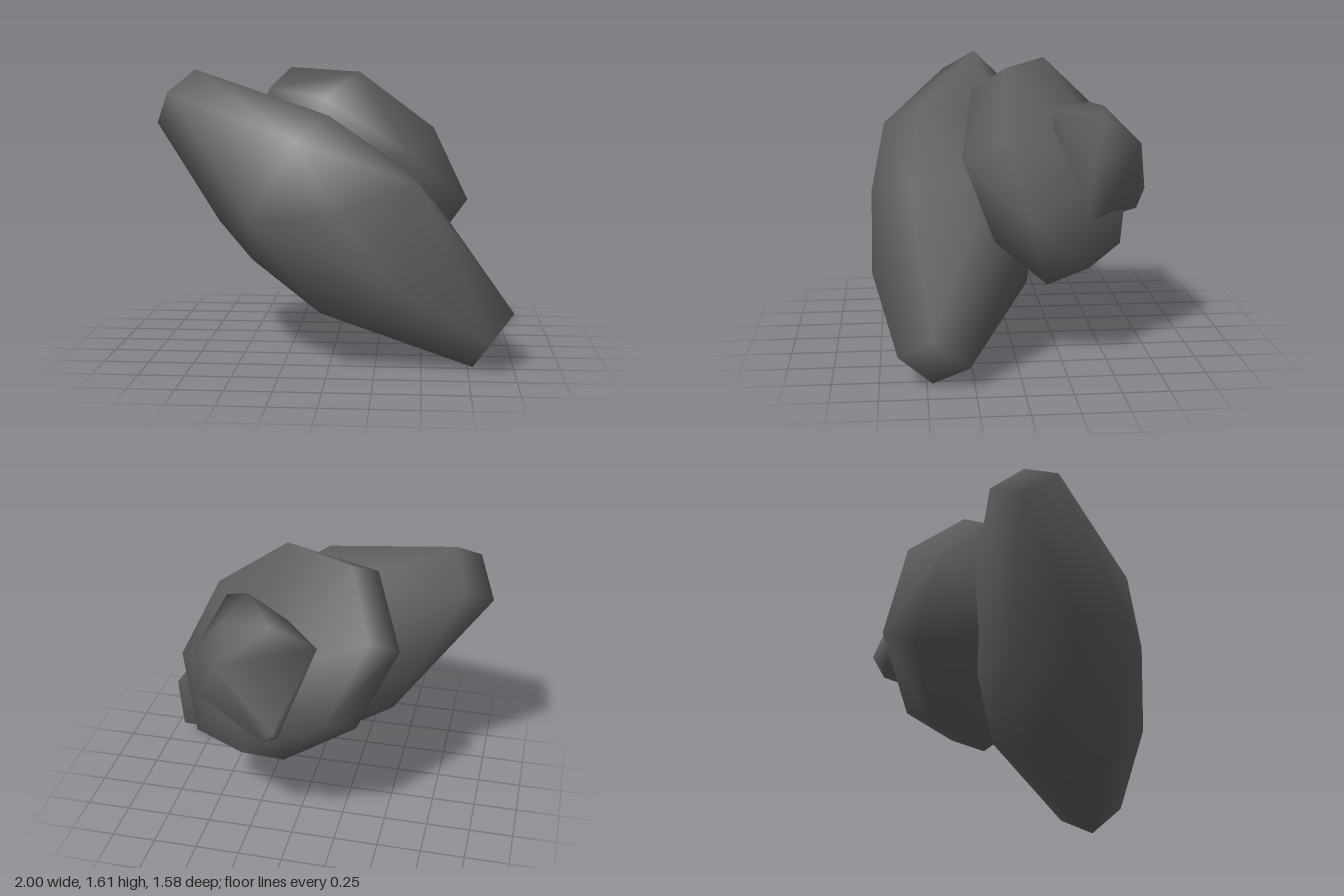
import * as THREE from 'three';
import { ConvexGeometry } from 'three/addons/geometries/ConvexGeometry.js';
import { mergeVertices } from 'three/addons/utils/BufferGeometryUtils.js';

const material = new THREE.MeshStandardMaterial({ color: 0x5f5f5f });

// Smooth-shaded convex stone; with a centre, every corner is also mirrored through it
function stone(name, corners, centre) {
  const points = corners.map((c) => new THREE.Vector3(...c));
  if (centre) {
    const twice = new THREE.Vector3(...centre).multiplyScalar(2);
    points.push(...points.map((p) => twice.clone().sub(p)));
  }
  let geometry = new ConvexGeometry(points);
  geometry.deleteAttribute('normal');
  geometry = mergeVertices(geometry, 1e-4);
  geometry.computeVertexNormals();
  const mesh = new THREE.Mesh(geometry, material);
  mesh.name = name;
  return mesh;
}

export function createModel() {
  const group = new THREE.Group();
  group.name = 'rockCluster';

  // Long slanted slab at the front
  group.add(stone('largeRock', [
    [-1, 1.3, 0.15], [-0.78, 1.6, 0.15], [-0.87, 1.42, -0.03], [-0.9, 1.48, 0.34],
    [0, 1.365, 0.5], [0.48, 1.01, 0.58], [-0.15, 1.245, 0.71], [-0.41, 0.82, 0.7],
    [0.05, 0.89, 0.785], [0.35, 0.49, 0.785], [-0.04, 0.32, 0.61], [0.61, 0.82, 0.22],
    [-0.43, 0.565, 0.4],
  ], [0, 0.8, 0.31]));

  // Rounder boulder behind it
  group.add(stone('middleRock', [
    [-0.28, 1.605, -0.23], [0.14, 1.585, 0.03], [0.56, 1.275, 0.08], [0.76, 0.85, -0.06],
    [0.43, 1.14, 0.29], [-0.43, 1.32, -0.53], [-0.05, 1.44, 0.21],
    [-0.38, 1.49, -0.02], [-0.1, 1.0, 0.24],
  ], [0.1, 1.02, -0.2]));

  // Small stone sunk into the back
  group.add(stone('smallRock', [
    [0.03, 0.87, -0.79], [0.1, 0.77, -0.73], [0.02, 0.8, -0.72], [-0.16, 1.28, -0.56],
    [0.02, 1.375, -0.46], [0.1, 1.365, -0.53], [0.37, 1.335, -0.5], [0.35, 1.19, -0.7],
    [0.56, 1.1, -0.41], [0.42, 1.36, -0.22], [0.3, 1.385, -0.23],
    [0.52, 0.85, -0.48], [0.47, 0.79, -0.44], [0.52, 0.81, -0.38], [0.1, 1.05, -0.2],
  ]));

  return group;
}
